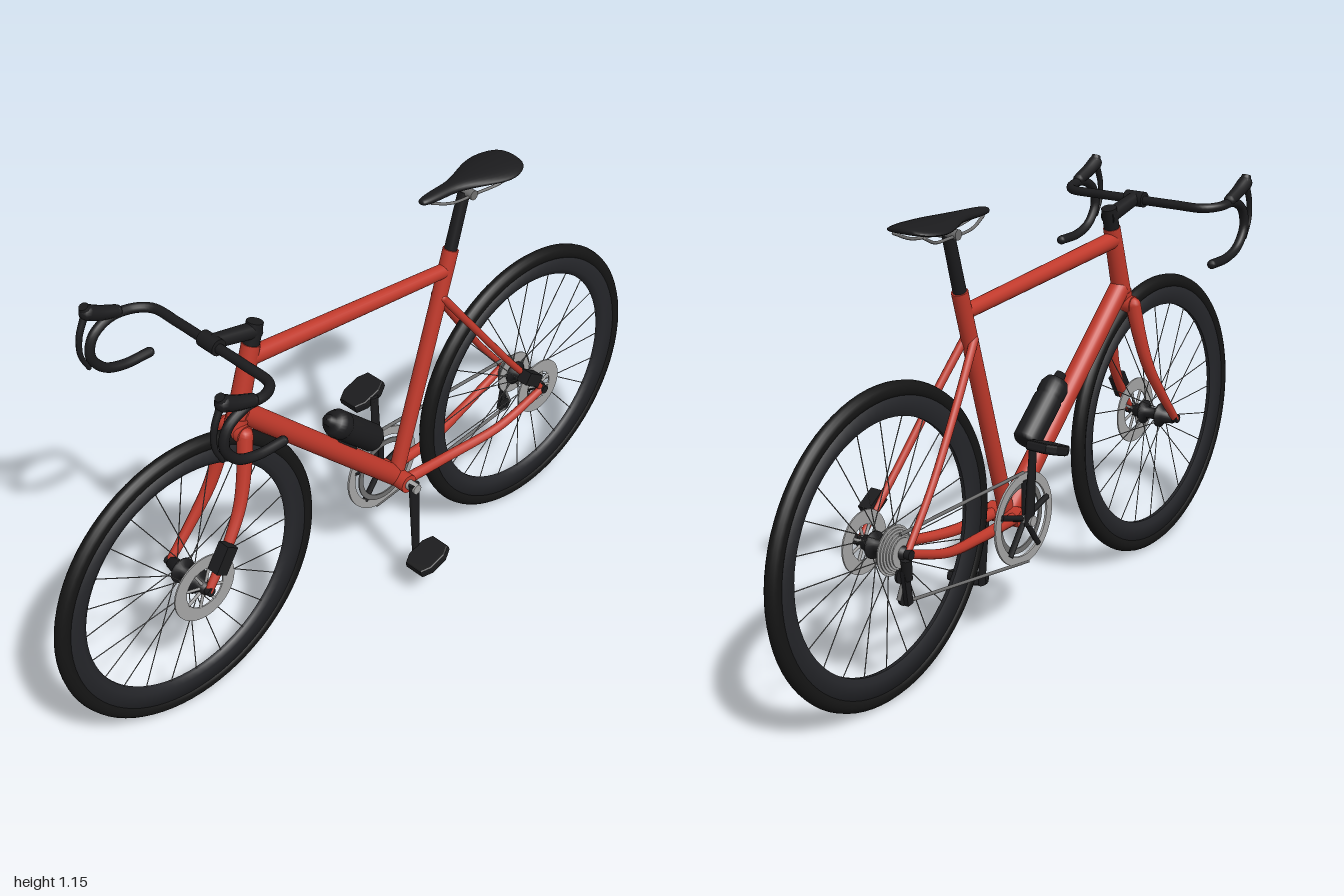
import * as THREE from 'three';

const mat = (color) => new THREE.MeshStandardMaterial({ color });
const V = (x, y, z) => new THREE.Vector3(x, y, z);

export function createModel() {
  const bike = new THREE.Group();
  bike.name = 'roadBike';
  const red = mat(0xc0392b), black = mat(0x1b1b1d), tyreBlack = mat(0x151515), rimBlack = mat(0x25262a);
  const silver = mat(0xa5a5a5), grey = mat(0x707070);

  const add = (parent, name, geo, material) => {
    const m = new THREE.Mesh(geo, material);
    m.name = name;
    parent.add(m);
    return m;
  };
  // straight tapered tube between two points
  const strut = (parent, name, a, b, r1, r2, material, sides = 16) => {
    const d = b.clone().sub(a);
    const m = add(parent, name, new THREE.CylinderGeometry(r2, r1, d.length(), sides), material);
    m.position.copy(a).addScaledVector(d, 0.5);
    m.quaternion.setFromUnitVectors(V(0, 1, 0), d.normalize());
    return m;
  };
  // curved tube whose radius runs from r1 to r2, with round ends
  const bent = (parent, name, pts, r1, r2, material, n = 28, sides = 12) => {
    const curve = new THREE.CatmullRomCurve3(pts);
    const geo = new THREE.TubeGeometry(curve, n, 1, sides);
    const p = geo.attributes.position, v = V(0, 0, 0);
    for (let i = 0; i < p.count; i++) {
      const t = Math.floor(i / (sides + 1)) / n, c = curve.getPointAt(t);
      v.fromBufferAttribute(p, i).sub(c).multiplyScalar(r1 + (r2 - r1) * t).add(c);
      p.setXYZ(i, v.x, v.y, v.z);
    }
    add(parent, name, geo, material);
    [[pts[0], r1], [pts[pts.length - 1], r2]].forEach(([c, r]) =>
      add(parent, name + 'End', new THREE.SphereGeometry(r, 10, 8), material).position.copy(c));
  };
  // flat ring facing sideways
  const ring = (parent, name, x, y, z, outer, inner, t, material) => {
    const s = new THREE.Shape().absarc(0, 0, outer, 0, Math.PI * 2);
    s.holes.push(new THREE.Path().absarc(0, 0, inner, 0, Math.PI * 2, true));
    const g = new THREE.ExtrudeGeometry(s, { depth: t, bevelEnabled: false, curveSegments: 32 });
    g.translate(0, 0, -t / 2).rotateY(Math.PI / 2);
    add(parent, name, g, material).position.set(x, y, z);
  };
  const arms = (parent, name, x, y, z, count, r0, r1, w, material) => {
    for (let i = 0; i < count; i++) {
      const a = (i / count) * Math.PI * 2 + 0.3, c = Math.cos(a), s = Math.sin(a);
      strut(parent, name, V(x, y + r0 * s, z + r0 * c), V(x, y + r1 * s, z + r1 * c), w, w, material, 6);
    }
  };
  const lathe = (pts, seg) =>
    new THREE.LatheGeometry(pts.map(([r, y]) => new THREE.Vector2(r, y)), seg).rotateZ(-Math.PI / 2);

  // wheels
  const HY = 0.403;
  for (const [name, z, rotorR] of [['frontWheel', 0.6, 0.093], ['rearWheel', -0.6, 0.08]]) {
    const w = new THREE.Group();
    w.name = name;
    w.position.set(0, HY, z);
    bike.add(w);
    add(w, 'tyre', new THREE.TorusGeometry(0.379, 0.021, 14, 80).rotateY(Math.PI / 2), tyreBlack).scale.x = 0.9;
    add(w, 'rim', lathe([[0.315, -0.005], [0.33, -0.012], [0.368, -0.015], [0.368, 0.015], [0.33, 0.012], [0.315, 0.005], [0.315, -0.005]], 80), rimBlack);
    add(w, 'hub', lathe([[0, -0.07], [0.016, -0.07], [0.02, -0.04], [0.034, -0.03], [0.034, -0.024], [0.016, -0.018],
      [0.016, 0.018], [0.034, 0.024], [0.034, 0.03], [0.02, 0.04], [0.016, 0.07], [0, 0.07]], 24), black);
    strut(w, 'axle', V(-0.085, 0, 0), V(0.085, 0, 0), 0.012, 0.012, black);
    // spokes alternate between the two hub flanges
    for (let i = 0; i < 24; i++) {
      const a = (i / 24) * Math.PI * 2, h = a + (i % 4 < 2 ? 0.5 : -0.5), side = i % 2 ? 0.027 : -0.027;
      strut(w, 'spoke', V(side, 0.03 * Math.sin(h), 0.03 * Math.cos(h)),
        V(0, 0.318 * Math.sin(a), 0.318 * Math.cos(a)), 0.0014, 0.0014, grey, 5);
    }
    ring(w, 'brakeRotor', 0.058, 0, 0, rotorR, rotorR - 0.036, 0.004, silver);
    arms(w, 'rotorArm', 0.058, 0, 0, 8, 0.012, rotorR - 0.034, 0.004, silver);
  }

  // frame
  const frame = new THREE.Group();
  frame.name = 'frame';
  bike.add(frame);
  const BB = V(0, 0.325, -0.105);
  strut(frame, 'headTube', V(0, 0.79, 0.428), V(0, 0.985, 0.373), 0.026, 0.023, red, 24);
  strut(frame, 'downTube', V(0, 0.81, 0.415), BB, 0.028, 0.028, red, 24);
  strut(frame, 'topTube', V(0, 0.95, 0.38), V(0, 0.9, -0.275), 0.023, 0.019, red, 24);
  strut(frame, 'seatTube', BB, V(0, 0.955, -0.293), 0.021, 0.021, red, 24);
  strut(frame, 'bottomBracket', V(-0.052, 0.325, -0.105), V(0.052, 0.325, -0.105), 0.026, 0.026, red, 24);
  strut(frame, 'forkCrown', V(-0.035, 0.765, 0.432), V(0.035, 0.765, 0.432), 0.024, 0.024, red, 20);
  strut(frame, 'crownRace', V(0, 0.755, 0.437), V(0, 0.8, 0.425), 0.028, 0.028, red, 24);
  for (const s of [-1, 1]) {
    bent(frame, 'forkLeg', [V(s * 0.034, 0.765, 0.432), V(s * 0.045, 0.68, 0.448), V(s * 0.057, 0.585, 0.478),
      V(s * 0.068, 0.49, 0.535), V(s * 0.075, HY, 0.6)], 0.021, 0.011, red);
    bent(frame, 'seatStay', [V(s * 0.014, 0.83, -0.255), V(s * 0.036, 0.7, -0.355), V(s * 0.058, 0.54, -0.48),
      V(s * 0.072, HY, -0.6)], 0.011, 0.009, red);
    bent(frame, 'chainStay', [V(s * 0.032, 0.326, -0.11), V(s * 0.042, 0.328, -0.28), V(s * 0.065, 0.35, -0.44),
      V(s * 0.074, HY, -0.6)], 0.016, 0.011, red);
  }

  // disc brake calipers
  const caliper = (name, y, z, tilt, len) => {
    const c = add(bike, name, new THREE.BoxGeometry(0.034, len, 0.036), black);
    c.position.set(0.083, y, z);
    c.rotation.x = tilt;
  };
  caliper('frontCaliper', 0.487, 0.558, -0.55, 0.075);
  caliper('rearCaliper', 0.475, -0.535, 1.0, 0.06);

  // seat post and saddle
  strut(bike, 'seatPost', V(0, 0.94, -0.288), V(0, 1.105, -0.335), 0.017, 0.016, black);
  strut(bike, 'saddleClamp', V(-0.033, 1.106, -0.337), V(0.033, 1.106, -0.337), 0.013, 0.013, grey);
  const saddle = new THREE.SphereGeometry(1, 28, 28).rotateX(Math.PI / 2);
  const sp = saddle.attributes.position;
  for (let i = 0; i < sp.count; i++) {
    const t = sp.getZ(i), r = Math.max(Math.sqrt(Math.max(1 - t * t, 0)), 1e-5);
    const wide = 0.022 + 0.061 * THREE.MathUtils.smoothstep(-t, -0.5, 0.75);
    const full = Math.pow(r, 0.45);
    const x = (sp.getX(i) / r) * full * wide;
    sp.setXYZ(i, x, 1.138 + (sp.getY(i) / r) * full * 0.014 - x * x * 1.5 - t * 0.004, -0.343 + t * 0.162);
  }
  saddle.computeVertexNormals();
  add(bike, 'saddle', saddle, black);
  for (const s of [-1, 1])
    bent(bike, 'saddleRail', [V(s * 0.01, 1.125, -0.21), V(s * 0.022, 1.107, -0.27), V(s * 0.025, 1.102, -0.36),
      V(s * 0.035, 1.106, -0.43), V(s * 0.045, 1.127, -0.48)], 0.004, 0.004, grey, 20, 8);

  // stem, handlebar, hoods and levers
  strut(bike, 'steererSpacer', V(0, 0.98, 0.374), V(0, 1.04, 0.358), 0.021, 0.021, black);
  strut(bike, 'stem', V(0, 1.015, 0.352), V(0, 1.045, 0.49), 0.021, 0.018, black);
  strut(bike, 'stemClamp', V(-0.028, 1.042, 0.49), V(0.028, 1.042, 0.49), 0.021, 0.021, black);
  for (const s of [-1, 1]) {
    const X = s * 0.24;
    bent(bike, 'handlebar', [V(0, 1.04, 0.49), V(s * 0.12, 1.04, 0.49), V(s * 0.205, 1.04, 0.495), V(s * 0.234, 1.042, 0.53),
      V(X, 1.043, 0.595), V(X, 1.015, 0.645), V(X, 0.965, 0.658), V(X, 0.917, 0.625), V(X, 0.897, 0.57), V(X, 0.895, 0.49)],
      0.0125, 0.0125, black, 64);
    bent(bike, 'brakeHood', [V(X, 1.052, 0.575), V(X, 1.068, 0.62), V(X, 1.085, 0.655)], 0.016, 0.02, black, 12);
    strut(bike, 'hoodHorn', V(X, 1.08, 0.652), V(X, 1.105, 0.663), 0.019, 0.012, black);
    bent(bike, 'brakeLever', [V(X, 1.075, 0.665), V(X, 1.03, 0.683), V(X, 0.98, 0.685), V(X, 0.935, 0.665)], 0.009, 0.006, black, 16, 8);
  }

  // bottle lying along the down tube
  const bottle = add(bike, 'bottle', new THREE.LatheGeometry([[0, -0.105], [0.03, -0.105], [0.038, -0.095], [0.038, 0.03],
    [0.034, 0.038], [0.038, 0.046], [0.038, 0.07], [0.03, 0.088], [0.016, 0.093], [0.014, 0.112], [0, 0.114]]
    .map(([r, y]) => new THREE.Vector2(r, y)), 24), black);
  bottle.position.set(0, 0.565, 0.055);
  bottle.rotation.x = 0.84;
  strut(bike, 'bottleCage', V(0, 0.5, 0.05), V(0, 0.56, 0.11), 0.012, 0.012, black);

  // cranks and pedals
  const half = new THREE.Shape([[-0.026, -0.05], [0.026, -0.05], [0.038, -0.025], [0.038, 0.025], [0.026, 0.05], [-0.026, 0.05],
    [-0.038, 0.025], [-0.038, -0.025]].map(([x, y]) => new THREE.Vector2(x, y)));
  const pedalGeo = new THREE.ExtrudeGeometry(half, { depth: 0.012, bevelThickness: 0.007, bevelSize: 0.005, bevelSegments: 2 });
  pedalGeo.translate(0, 0, -0.006).rotateX(-Math.PI / 2);
  for (const s of [-1, 1]) {
    const py = BB.y - s * 0.207;
    strut(bike, 'crankArm', V(s * 0.07, BB.y + s * 0.012, BB.z), V(s * 0.082, py - s * 0.01, BB.z), 0.017, 0.012, black).scale.x = 0.65;
    strut(bike, 'crankCap', V(s * 0.05, BB.y, BB.z), V(s * 0.084, BB.y, BB.z), 0.014, 0.014, silver);
    strut(bike, 'pedalAxle', V(s * 0.075, py, BB.z), V(s * 0.12, py, BB.z), 0.007, 0.007, grey);
    const pedal = add(bike, 'pedal', pedalGeo, black);
    pedal.position.set(s * 0.127, py, BB.z);
    pedal.rotation.x = 0.33;
  }

  // drivetrain on the right-hand side
  const DX = -0.052;
  ring(bike, 'chainring', DX, BB.y, BB.z, 0.124, 0.1, 0.006, silver);
  ring(bike, 'innerChainring', DX + 0.01, BB.y, BB.z, 0.095, 0.08, 0.004, grey);
  arms(bike, 'chainringSpider', DX - 0.003, BB.y, BB.z, 5, 0.01, 0.105, 0.008, black);
  for (let i = 0; i < 6; i++)
    ring(bike, 'cassetteCog', -0.032 - i * 0.005, HY, -0.6, 0.062 - i * 0.005, 0.016, 0.003, silver);
  const chain = (a, b) => strut(bike, 'chain', a, b, 0.005, 0.005, grey, 6);
  chain(V(DX, 0.45, BB.z), V(DX, 0.447, -0.6));
  chain(V(DX, 0.201, -0.085), V(DX, 0.272, -0.59));
  chain(V(DX, 0.285, -0.612), V(DX, 0.345, -0.585));
  for (const [y, z] of [[0.285, -0.59], [0.345, -0.6]]) ring(bike, 'jockeyWheel', DX, y, z, 0.02, 0.006, 0.006, black);
  const cage = add(bike, 'derailleurCage', new THREE.BoxGeometry(0.012, 0.095, 0.02), black);
  cage.position.set(DX - 0.01, 0.315, -0.592);
  cage.rotation.x = -0.15;
  strut(bike, 'derailleurBody', V(-0.072, HY - 0.01, -0.605), V(-0.064, 0.335, -0.59), 0.014, 0.012, black);

  return bike;
}
